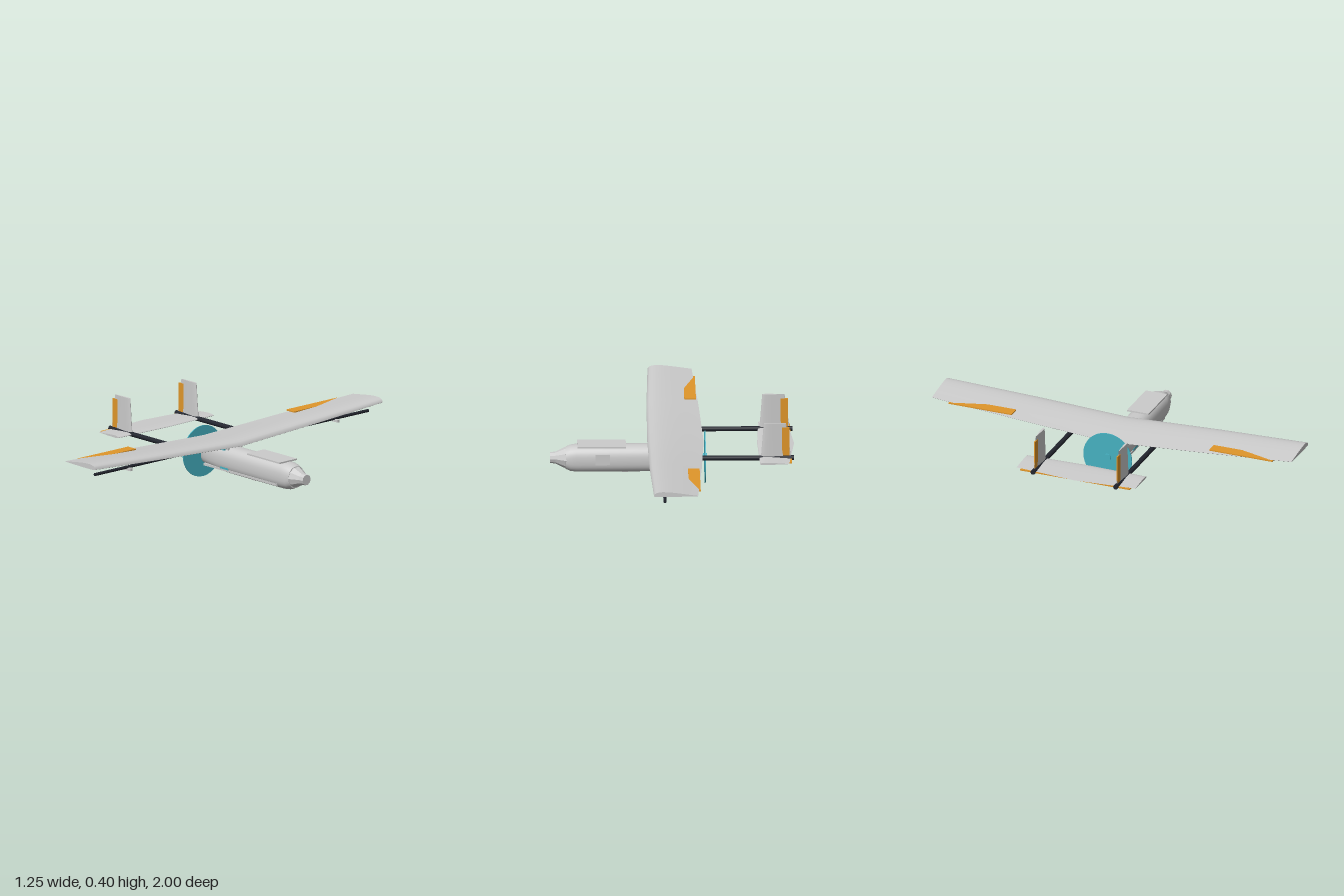
import * as THREE from 'three';
import { toCreasedNormals } from 'three/addons/utils/BufferGeometryUtils.js';

const paint = (color) => new THREE.MeshStandardMaterial({ color });
const grey = paint(0xcccccc);
const orange = paint(0xe0962a);
const dark = paint(0x22252e);
const teal = paint(0x46b0c0);

// Closed skin through equal rings of [x, y, z] points, capped at both ends
function loft(rings, crease = 0.6) {
  const n = rings[0].length;
  const pos = rings.flat();
  const index = [];
  for (let r = 0; r < rings.length - 1; r++) {
    for (let i = 0; i < n; i++) {
      const a = r * n + i, b = r * n + (i + 1) % n;
      index.push(a, b, b + n, a, b + n, a + n);
    }
  }
  for (const [r, flip] of [[0, true], [rings.length - 1, false]]) {
    const mid = [0, 1, 2].map((k) => rings[r].reduce((s, p) => s + p[k], 0) / n);
    const c = pos.push(mid) - 1;
    for (let i = 0; i < n; i++) {
      const a = r * n + i, b = r * n + (i + 1) % n;
      index.push(c, ...(flip ? [b, a] : [a, b]));
    }
  }
  // Turn the faces outward whichever way the rings run
  const v = pos.map((p) => new THREE.Vector3(...p));
  let volume = 0;
  for (let i = 0; i < index.length; i += 3) {
    volume += v[index[i]].dot(v[index[i + 1]].clone().cross(v[index[i + 2]]));
  }
  if (volume < 0) index.reverse();
  const g = new THREE.BufferGeometry();
  g.setAttribute('position', new THREE.Float32BufferAttribute(pos.flat(), 3));
  g.setIndex(index);
  return toCreasedNormals(g, crease);
}

// Airfoil outline as [x, height]; under is the belly depth relative to the top
function airfoil(back, front, thick, under, steps = 14) {
  const pts = [];
  const h = (t) => 2.6 * (Math.sqrt(t) - t) * (1 - 0.35 * t) + 0.05 * t;
  for (let i = 0; i <= steps; i++) {
    const t = (1 - Math.cos(Math.PI * i / steps)) / 2;
    pts.push([front + (back - front) * t, thick * 1.65 * h(t)]);
  }
  for (let i = steps - 1; i > 0; i--) {
    const t = (1 - Math.cos(Math.PI * i / steps)) / 2;
    pts.push([front + (back - front) * t, -thick * 1.65 * under * h(t)]);
  }
  return pts;
}

export function createModel() {
  const model = new THREE.Group();
  model.name = 'twinBoomAircraft';
  const add = (name, geometry, material, x = 0, y = 0, z = 0) => {
    const mesh = new THREE.Mesh(geometry, material);
    mesh.name = name;
    mesh.position.set(x, y, z);
    model.add(mesh);
    return mesh;
  };
  const box = (name, mat, size, at) => add(name, new THREE.BoxGeometry(...size), mat, ...at);
  const rod = (name, mat, r, length, axis, at, sides = 20) => {
    const g = new THREE.CylinderGeometry(r, r, length, sides);
    if (axis === 'x') g.rotateZ(Math.PI / 2);
    if (axis === 'z') g.rotateX(Math.PI / 2);
    return add(name, g, mat, ...at);
  };

  // Fuselage: stations of [x, bottom, top, half width, squareness]
  const stations = [
    [-0.14, 0.082, 0.178, 0.04, 2.3], [-0.13, 0.081, 0.19, 0.046, 2.4],
    [-0.11, 0.079, 0.2, 0.053, 2.6], [-0.08, 0.076, 0.204, 0.058, 2.6],
    [0.0, 0.067, 0.205, 0.062, 2.6], [0.1, 0.065, 0.205, 0.064, 2.6],
    [0.49, 0.065, 0.205, 0.064, 2.6], [0.52, 0.068, 0.201, 0.06, 2.5],
    [0.545, 0.078, 0.192, 0.053, 2.3],
  ];
  add('fuselage', loft(stations.map(([x, lo, hi, w, e]) => {
    const ring = [];
    for (let i = 0; i < 32; i++) {
      const a = i / 32 * Math.PI * 2, c = Math.cos(a), s = Math.sin(a);
      ring.push([x, (lo + hi) / 2 + (hi - lo) / 2 * Math.sign(s) * Math.abs(s) ** (2 / e),
        w * Math.sign(c) * Math.abs(c) ** (2 / e)]);
    }
    return ring;
  })), grey);

  // Faceted nose
  const nose = new THREE.LatheGeometry([[0, 0.53], [0.056, 0.53], [0.054, 0.55], [0.031, 0.597],
    [0.028, 0.625], [0, 0.625]].map(([r, h]) => new THREE.Vector2(r, h)), 10);
  nose.rotateZ(-Math.PI / 2);
  add('nose', toCreasedNormals(nose, 0.3), grey, 0, 0.136, 0);

  // Hatches and rail on the fuselage
  box('topHatch', grey, [0.25, 0.008, 0.12], [0.36, 0.208, 0]);
  box('sideHatch', grey, [0.075, 0.055, 0.014], [0.355, 0.145, -0.066]);
  box('sideRail', grey, [0.56, 0.012, 0.012], [0.18, 0.088, 0.052]);
  box('bellyHatch', grey, [0.03, 0.006, 0.04], [0.24, 0.065, 0]);
  box('sideServo', teal, [0.06, 0.01, 0.01], [0.06, 0.097, 0.055]);

  // Pusher motor and propeller disc
  rod('motor', teal, 0.02, 0.045, 'x', [-0.16, 0.136, 0]);
  rod('propellerDisc', teal, 0.135, 0.005, 'x', [-0.172, 0.135, 0], 48);

  // Wing: stations of [z, trailing edge, leading edge, base height, thickness]
  const half = [[0, -0.165, 0.125, 0.217, 0.029], [0.5, -0.147, 0.121, 0.242, 0.027],
    [1, -0.12, 0.107, 0.267, 0.023]];
  const span = [...half.slice(1).reverse().map(([z, ...rest]) => [-z, ...rest]), ...half];
  add('wing', loft(span.map(([z, back, front, y, t]) =>
    airfoil(back, front, t, 0.16).map(([x, h]) => [x, y + h, z]))), grey);

  // Tailplane
  add('tailplane', loft([[-0.33, -0.6, -0.45], [0, -0.63, -0.44], [0.33, -0.6, -0.45]]
    .map(([z, back, front]) => airfoil(back, front, 0.008, 0.5)
      .map(([x, h]) => [x, 0.207 + h, z]))), grey);
  box('elevator', orange, [0.042, 0.006, 0.61], [-0.594, 0.204, 0]);

  // Spar below the wing
  rod('spar', dark, 0.008, 1.9, 'z', [0.05, 0.222, 0]);

  // Mirrored parts: booms, fins, control surfaces and brackets
  for (const s of [-1, 1]) {
    const z = 0.23 * s;
    rod('boom', dark, 0.0125, 0.625, 'x', [-0.3125, 0.2075, z]);
    add('fin', loft([[0.205, -0.612, -0.455, 0.008], [0.395, -0.585, -0.47, 0.006]]
      .map(([y, back, front, t]) => airfoil(back, front, t, 1)
        .map(([x, h]) => [x, y, z + h]))), grey);
    box('rudder', orange, [0.038, 0.152, 0.007], [-0.584, 0.296, z]);
    box('aileron', orange, [0.06, 0.006, 0.35], [-0.105, 0.26, 0.725 * s]);
    box('sparBracket', grey, [0.045, 0.014, 0.016], [0.055, 0.212, 0.72 * s]);
    box('wingMount', grey, [0.05, 0.03, 0.012], [0.055, 0.21, 0.045 * s]);
    box('wingServo', teal, [0.022, 0.01, 0.012], [0.05, 0.197, 0.056 * s]);
  }
  return model;
}
